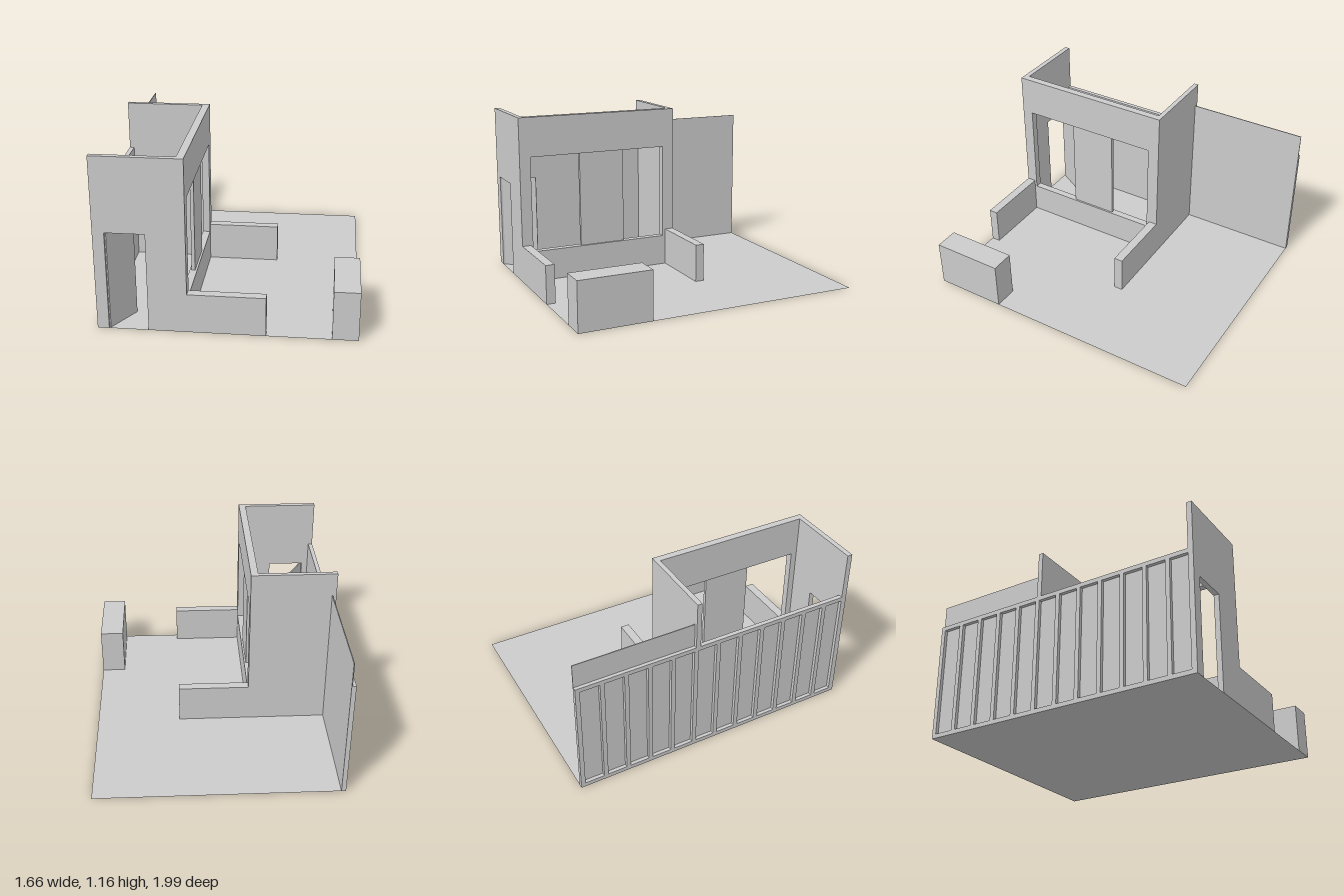
import * as THREE from 'three';

const material = new THREE.MeshStandardMaterial({ color: 0xcccccc, flatShading: true });
const FRONT = 0.988, BACK = -1, SIDE = 0.83;

export function createModel() {
  const model = new THREE.Group();
  model.name = 'roomMockup';

  const add = (name, geometry, parent = model) => {
    const mesh = new THREE.Mesh(geometry, material);
    mesh.name = name;
    parent.add(mesh);
    return mesh;
  };

  // Box given by its limits along each axis
  const block = (name, [x0, x1], [y0, y1], [z0, z1], parent) => {
    const mesh = add(name, new THREE.BoxGeometry(x1 - x0, y1 - y0, z1 - z0), parent);
    mesh.position.set((x0 + x1) / 2, (y0 + y1) / 2, (z0 + z1) / 2);
    return mesh;
  };

  // Upright wall with an outline and optional opening
  const wall = (name, outline, thickness, opening) => {
    const toPoints = (list) => list.map(([x, y]) => new THREE.Vector2(x, y));
    const shape = new THREE.Shape(toPoints(outline));
    if (opening) shape.holes.push(new THREE.Path(toPoints(opening)));
    return add(name, new THREE.ExtrudeGeometry(shape, { depth: thickness, bevelEnabled: false }));
  };

  // Ground sheet
  const ground = add('ground', new THREE.PlaneGeometry(2 * SIDE, FRONT - BACK).rotateX(-Math.PI / 2));
  ground.material = material.clone();
  ground.material.side = THREE.DoubleSide;
  ground.position.z = (FRONT + BACK) / 2;

  // Front wall, cut around the doorway down to the floor
  wall('frontWall', [
    [-SIDE, 0], [-0.755, 0], [-0.755, 0.665], [-0.5, 0.665], [-0.5, 0],
    [-0.25, 0], [-0.25, 1.163], [-SIDE, 1.163],
  ], 0.036).position.z = FRONT - 0.036;

  // Back wall, notched over the stud frame
  wall('backWall', [
    [-0.8, 0], [-0.25, 0], [-0.25, 1.163], [-SIDE, 1.163], [-SIDE, 0.833], [-0.8, 0.833],
  ], 0.033).position.z = -0.173;

  // Long wall with the wide window
  const windowWall = wall('windowWall',
    [[-0.14, 0], [0.952, 0], [0.952, 1.163], [-0.14, 1.163]], 0.05,
    [[-0.09, 0.217], [-0.09, 0.888], [0.91, 0.888], [0.91, 0.217]]);
  windowWall.rotation.y = -Math.PI / 2;
  windowWall.position.x = -0.25;
  block('windowPanel', [-0.287, -0.263], [0.217, 0.888], [0.22, 0.55]);

  // Door standing ajar, swung inwards on its hinge
  const door = new THREE.Group();
  door.name = 'door';
  door.position.set(-0.75, 0, 0.975);
  door.rotation.y = Math.PI / 3;
  block('doorLeaf', [0, 0.25], [0, 0.665], [-0.005, 0.005], door);
  model.add(door);

  // Side partition: thin sheet inside, open stud frame outside
  block('sideSheetBack', [-0.806, -0.8], [0, 1], [BACK, -0.173]);
  block('sideSheetFront', [-0.806, -0.8], [0, 0.833], [-0.173, FRONT]);
  const frame = new THREE.Group();
  frame.name = 'studFrame';
  model.add(frame);
  const stud = 0.03, count = 13;
  block('bottomPlate', [-SIDE, -0.806], [0, stud], [BACK, FRONT], frame);
  block('topPlate', [-SIDE, -0.806], [0.833 - stud, 0.833], [BACK, FRONT], frame);
  for (let i = 0; i < count; i++) {
    const z = BACK + (i * (FRONT - BACK - stud)) / (count - 1);
    block('stud', [-SIDE, -0.806], [stud, 0.833 - stud], [z, z + stud], frame);
  }

  // Low walls in front of the window
  block('lowWallFront', [-0.25, 0.248], [0, 0.265], [FRONT - 0.062, FRONT]);
  block('lowWallBack', [-0.25, 0.245], [0, 0.265], [-0.173, -0.111]);

  // Free-standing counter in the corner
  block('counter', [0.663, SIDE], [0, 0.333], [0.49, FRONT]);

  return model;
}
